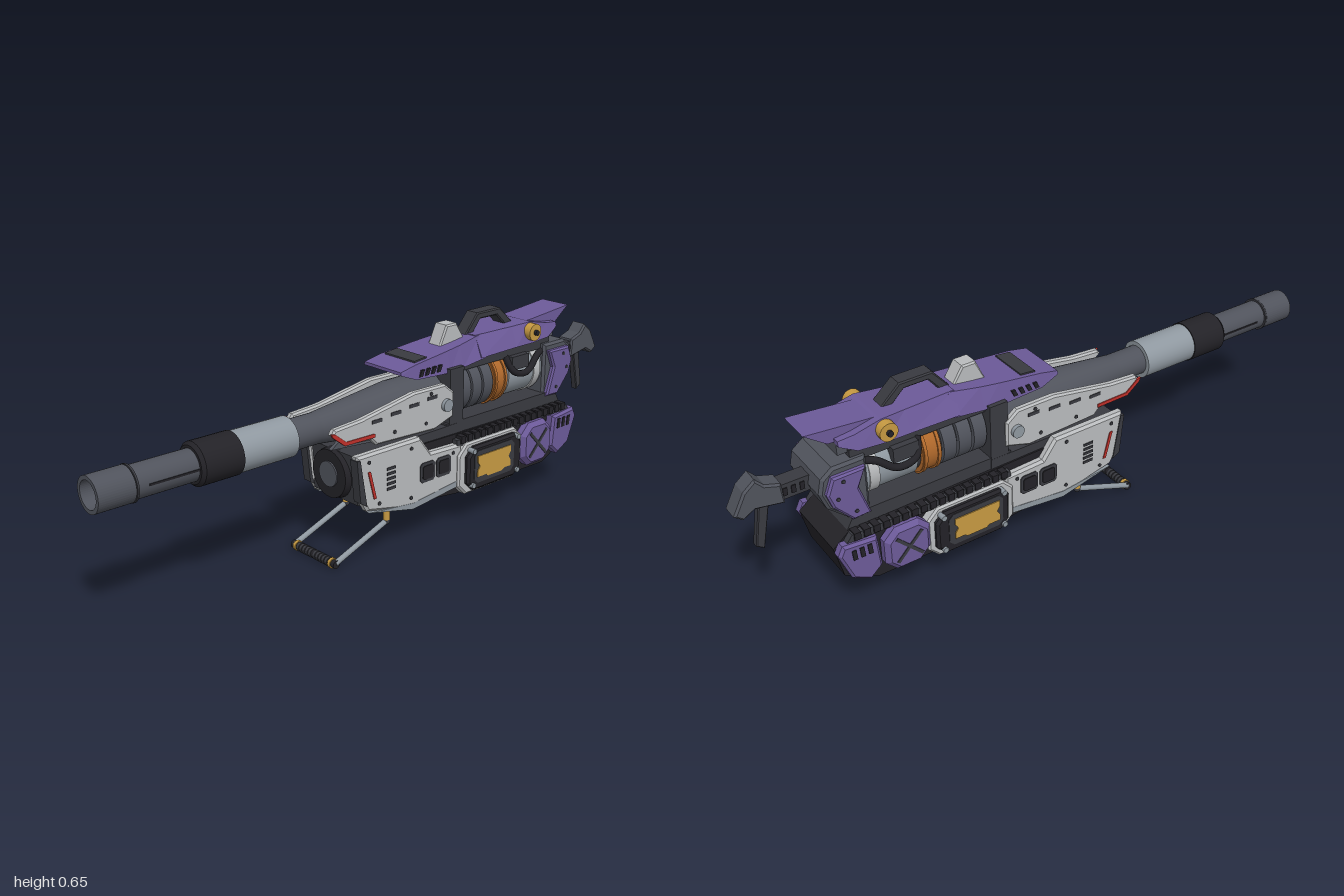
import * as THREE from 'three';

export function createModel() {
  const root = new THREE.Group();
  root.name = 'armouredCannon';
  const M = {};
  const colours = {
    purple: 0x6c5a99, lightGrey: 0xb9bbbd, silver: 0x8f98a0, gunmetal: 0x50535c, charcoal: 0x393a40,
    black: 0x232227, gold: 0xc79a42, copper: 0xb26a2c, red: 0xc0302a
  };
  for (const [name, color] of Object.entries(colours)) {
    M[name] = new THREE.MeshStandardMaterial({ color });
    M[name].name = name;
  }

  // ---- helpers ----
  const add = (name, geo, mat) => {
    const m = new THREE.Mesh(geo, M[mat]);
    m.name = name;
    root.add(m);
    return m;
  };
  const box = (name, mat, x0, x1, y0, y1, z0, z1) =>
    add(name, new THREE.BoxGeometry(x1 - x0, y1 - y0, z1 - z0)
      .translate((x0 + x1) / 2, (y0 + y1) / 2, (z0 + z1) / 2), mat);
  const boxes = (name, mat, x0, x1, y0, y1, z0, z1) => {
    box(name, mat, x0, x1, y0, y1, z0, z1);
    box(name, mat, x0, x1, y0, y1, -z1, -z0);
  };
  // side profile extruded across z, with bevels kept inside the outline
  const slab = (name, mat, pts, z0, z1, b = 0, holes = []) => {
    const shape = new THREE.Shape(pts.map(p => new THREE.Vector2(...p)));
    holes.forEach(h => shape.holes.push(new THREE.Path(h.map(p => new THREE.Vector2(...p)))));
    const geo = new THREE.ExtrudeGeometry(shape, {
      depth: z1 - z0 - 2 * b, bevelEnabled: b > 0, bevelSize: b, bevelOffset: -b, bevelThickness: b, bevelSegments: 1
    });
    return add(name, geo.translate(0, 0, z0 + b), mat);
  };
  const slabs = (name, mat, pts, z0, z1, b) => {
    slab(name, mat, pts, z0, z1, b);
    slab(name, mat, pts, -z1, -z0, b);
  };
  const cylX = (name, mat, x0, x1, r0, r1 = r0, y = 0.416, n = 32) =>
    add(name, new THREE.CylinderGeometry(r1, r0, x1 - x0, n).rotateZ(-Math.PI / 2).translate((x0 + x1) / 2, y, 0), mat);
  const cylZ = (name, mat, x, y, z0, z1, r, n = 20) => {
    for (const s of [1, -1])
      add(name, new THREE.CylinderGeometry(r, r, z1 - z0, n).rotateX(Math.PI / 2).translate(x, y, s * (z0 + z1) / 2), mat);
  };
  const octagon = (x, y, w, h, c) => [
    [x - w + c, y - h], [x + w - c, y - h], [x + w, y - h + c], [x + w, y + h - c],
    [x + w - c, y + h], [x - w + c, y + h], [x - w, y + h - c], [x - w, y - h + c]];
  // box-like loft along x: stations of [x, yBottom, yTop, halfBottom, halfTop]
  const loft = (name, mat, st) => {
    const pos = [];
    const ring = ([x, a, b, w, t]) => [[x, a, w], [x, b, t], [x, b, -t], [x, a, -w]];
    const quad = (a, b, c, d) => pos.push(...a, ...b, ...c, ...a, ...c, ...d);
    for (let i = 0; i < st.length - 1; i++) {
      const p = ring(st[i]), q = ring(st[i + 1]);
      for (let k = 0; k < 4; k++) quad(p[k], q[k], q[(k + 1) % 4], p[(k + 1) % 4]);
    }
    quad(...ring(st[0]));
    quad(...ring(st[st.length - 1]).reverse());
    const g = new THREE.BufferGeometry();
    g.setAttribute('position', new THREE.Float32BufferAttribute(pos, 3));
    g.computeVertexNormals();
    return add(name, g, mat);
  };

  // ---- barrel ----
  const tube = new THREE.Shape().absarc(0, 0, 0.052, 0, Math.PI * 2);
  tube.holes.push(new THREE.Path().absarc(0, 0, 0.04, 0, Math.PI * 2));
  add('muzzle', new THREE.ExtrudeGeometry(tube, { depth: 0.11, bevelEnabled: false, curveSegments: 24 })
    .rotateY(Math.PI / 2).translate(-1, 0.416, 0), 'gunmetal');
  cylX('bore', 'black', -0.93, -0.89, 0.041);
  for (const x of [-0.985, -0.9]) cylX('muzzleBand', 'charcoal', x + 0.012, x + 0.018, 0.0535).visible = x > -0.95;
  cylX('frontBarrel', 'gunmetal', -0.89, -0.68, 0.047);
  boxes('barrelGroove', 'black', -0.85, -0.69, 0.413, 0.419, 0.044, 0.049);
  cylX('barrelSleeve', 'black', -0.685, -0.56, 0.064);
  cylX('sleeveLip', 'black', -0.695, -0.685, 0.055, 0.064);
  cylX('silverSleeve', 'silver', -0.56, -0.37, 0.061);
  cylX('rearBarrel', 'gunmetal', -0.37, -0.2, 0.047);
  cylX('barrelCone', 'gunmetal', -0.27, 0.03, 0.047, 0.08);
  cylX('barrelRoot', 'gunmetal', 0.03, 0.21, 0.08);

  // ---- upper side armour ----
  slabs('upperArmour', 'lightGrey', [[-0.29, 0.425], [-0.24, 0.383], [-0.14, 0.375], [-0.12, 0.355], [0.12, 0.345],
    [0.2, 0.37], [0.2, 0.45], [0.16, 0.482], [0.03, 0.483], [-0.18, 0.447], [-0.28, 0.44]], 0.083, 0.108, 0.006);
  slabs('redTrim', 'red', [[-0.295, 0.432], [-0.29, 0.42], [-0.245, 0.385], [-0.13, 0.383], [-0.13, 0.394],
    [-0.24, 0.396], [-0.28, 0.428]], 0.104, 0.111, 0);
  slabs('upperArmourSkirt', 'gunmetal', [[-0.28, 0.375], [-0.1, 0.36], [-0.1, 0.4], [-0.24, 0.4]], 0.078, 0.09, 0);
  for (let i = 0; i < 4; i++)
    boxes('armourSlot', 'charcoal', -0.14 + i * 0.075, -0.1 + i * 0.075, 0.425 + i * 0.007, 0.436 + i * 0.007, 0.105, 0.11);
  cylZ('armourPivot', 'silver', 0.165, 0.415, 0.1, 0.12, 0.02);
  for (const [x, y] of [[-0.05, 0.38], [0.08, 0.375], [0.1, 0.465]]) cylZ('armourBolt', 'charcoal', x, y, 0.1, 0.111, 0.006, 8);

  // ---- lower body and front opening ----
  slab('lowerBody', 'charcoal', [[-0.2, 0.335], [-0.19, 0.18], [0.01, 0.135], [0.25, 0.12], [0.25, 0.34]], -0.1, 0.1);
  cylX('frontPort', 'black', -0.215, -0.19, 0.075, 0.08, 0.26);
  cylX('portCore', 'gunmetal', -0.22, -0.2, 0.04, 0.04, 0.26);
  slabs('lowerArmour', 'lightGrey', [[-0.215, 0.345], [-0.2, 0.21], [-0.175, 0.165], [0.01, 0.125], [0.22, 0.15],
    [0.22, 0.28], [0.085, 0.285], [0.04, 0.345]], 0.095, 0.128, 0.008);
  slabs('armourLowerLip', 'silver', [[-0.17, 0.16], [0.01, 0.12], [0.22, 0.143], [0.22, 0.163], [0.01, 0.14]], 0.1, 0.129, 0);
  slabs('armourEdge', 'charcoal', [[-0.218, 0.335], [-0.205, 0.335], [-0.18, 0.185], [-0.205, 0.2]], 0.1, 0.131, 0);
  slabs('redMark', 'red', [[-0.175, 0.29], [-0.165, 0.29], [-0.142, 0.2], [-0.152, 0.2]], 0.126, 0.131, 0);
  for (let i = 0; i < 5; i++) boxes('ventSlot', 'charcoal', -0.1, -0.065, 0.212 + i * 0.016, 0.22 + i * 0.016, 0.125, 0.131);
  for (const x of [0.068, 0.137]) {
    slabs('windowFrame', 'charcoal', octagon(x, 0.228, 0.031, 0.032, 0.008), 0.125, 0.131, 0);
    slabs('window', 'black', octagon(x, 0.228, 0.022, 0.022, 0.005), 0.126, 0.134, 0);
  }
  for (const [x, y] of [[-0.17, 0.32], [0, 0.32], [0, 0.16], [0.18, 0.26], [-0.13, 0.18]])
    cylZ('lowerBolt', 'charcoal', x, y, 0.12, 0.131, 0.006, 8);

  // ---- rear hull ----
  slab('rearHull', 'black', [[0.05, 0.125], [0.22, 0.105], [0.64, 0.102], [0.745, 0.155], [0.77, 0.26], [0.72, 0.3],
    [0.05, 0.31]], -0.105, 0.105);
  slab('deck', 'charcoal', [[0.18, 0.3], [0.72, 0.3], [0.7, 0.335], [0.66, 0.345], [0.18, 0.345]], -0.098, 0.098);
  slabs('trackRail', 'charcoal', [[0.2, 0.272], [0.74, 0.275], [0.72, 0.3], [0.2, 0.294]], 0.1, 0.125, 0);
  for (let i = 0; i < 17; i++) boxes('trackPad', 'black', 0.215 + i * 0.03, 0.235 + i * 0.03, 0.28, 0.304, 0.1, 0.13);

  // ---- side modules ----
  slabs('moduleBase', 'lightGrey', octagon(0.345, 0.193, 0.147, 0.086, 0.035), 0.1, 0.136, 0.006);
  slabs('moduleFrame', 'black', octagon(0.348, 0.193, 0.124, 0.074, 0.03), 0.13, 0.154, 0.008);
  slabs('moduleInset', 'charcoal', octagon(0.342, 0.198, 0.092, 0.054, 0.015), 0.15, 0.156, 0);
  slabs('goldGrille', 'gold', [[0.262, 0.165], [0.3, 0.165], [0.31, 0.158], [0.375, 0.158], [0.385, 0.165], [0.415, 0.165],
    [0.415, 0.185], [0.405, 0.2], [0.415, 0.215], [0.415, 0.235], [0.262, 0.235], [0.262, 0.215], [0.272, 0.2],
    [0.262, 0.185]], 0.15, 0.159, 0);
  for (const x of [0.245, 0.45]) for (const y of [0.14, 0.255]) cylZ('moduleBolt', 'silver', x, y, 0.13, 0.161, 0.009, 10);
  slabs('purpleHub', 'purple', octagon(0.56, 0.203, 0.073, 0.074, 0.036), 0.1, 0.15, 0.014);
  for (const s of [1, -1]) {
    const a = s * 0.8, c = Math.cos(a), d = Math.sin(a);
    const bar = [[-0.058, -0.005], [0.058, -0.005], [0.058, 0.005], [-0.058, 0.005]]
      .map(([u, v]) => [0.56 + u * c - v * d, 0.203 + u * d + v * c]);
    slabs('hubCross', 'charcoal', bar, 0.147, 0.1525, 0);
  }
  slabs('rearSkirt', 'purple', [[0.64, 0.165], [0.68, 0.13], [0.735, 0.16], [0.77, 0.25], [0.755, 0.28], [0.65, 0.27]],
    0.1, 0.138, 0.008);
  for (let i = 0; i < 3; i++) {
    const x = 0.668 + i * 0.024;
    slabs('skirtSlot', 'black', [[x, 0.225], [x + 0.013, 0.225], [x + 0.016, 0.258], [x + 0.003, 0.258]], 0.134, 0.141, 0);
  }

  // ---- engine drum ----
  box('drumFrontFrame', 'charcoal', 0.19, 0.25, 0.34, 0.52, -0.1, 0.1);
  cylX('drumCore', 'charcoal', 0.25, 0.64, 0.074, 0.074, 0.43);
  for (const x of [0.255, 0.305, 0.355]) cylX('drumRib', 'gunmetal', x, x + 0.042, 0.088, 0.088, 0.43);
  cylX('copperRing', 'copper', 0.405, 0.465, 0.087, 0.087, 0.43);
  for (const x of [0.408, 0.452]) cylX('copperLip', 'copper', x, x + 0.01, 0.092, 0.092, 0.43);
  cylX('drumRear', 'silver', 0.48, 0.64, 0.082, 0.082, 0.43);
  cylX('drumRearBand', 'lightGrey', 0.6, 0.63, 0.086, 0.086, 0.43);
  for (const s of [1, -1]) {
    const path = new THREE.CatmullRomCurve3([[0.47, 0.5, 0.07], [0.49, 0.45, 0.095], [0.55, 0.44, 0.098], [0.61, 0.48, 0.085],
      [0.65, 0.49, 0.07]].map(([x, y, z]) => new THREE.Vector3(x, y, z * s)));
    add('hose', new THREE.TubeGeometry(path, 20, 0.011, 8), 'black');
  }
  boxes('hoseSocket', 'charcoal', 0.48, 0.56, 0.455, 0.5, 0.06, 0.095);

  // ---- rear block and grip ----
  slab('rearBlock', 'gunmetal', [[0.64, 0.33], [0.7, 0.325], [0.765, 0.385], [0.785, 0.44], [0.775, 0.485], [0.74, 0.512],
    [0.64, 0.512]], -0.092, 0.092, 0.008);
  slabs('rearBlockArmour', 'purple', [[0.645, 0.335], [0.7, 0.332], [0.755, 0.395], [0.77, 0.44], [0.75, 0.49], [0.65, 0.49],
    [0.675, 0.43]], 0.085, 0.108, 0.006);
  for (const [x, y] of [[0.69, 0.36], [0.72, 0.47], [0.74, 0.42]]) cylZ('rearBolt', 'charcoal', x, y, 0.1, 0.111, 0.006, 8);
  box('gripArm', 'charcoal', 0.76, 0.9, 0.42, 0.468, -0.024, 0.024);
  for (let i = 0; i < 3; i++) boxes('gripArmSlot', 'black', 0.795 + i * 0.025, 0.808 + i * 0.025, 0.432, 0.456, 0.02, 0.027);
  slab('gripHead', 'gunmetal', [[0.855, 0.41], [0.94, 0.425], [0.975, 0.405], [1, 0.425], [0.965, 0.49], [0.93, 0.518],
    [0.905, 0.49], [0.86, 0.475]], -0.03, 0.03, 0.006);
  slab('gripLever', 'charcoal', [[0.895, 0.415], [0.925, 0.42], [0.948, 0.292], [0.925, 0.277]], -0.012, 0.012, 0.003);

  // ---- top cover ----
  box('coverSupport', 'charcoal', 0.2, 0.68, 0.495, 0.535, -0.075, 0.075);
  loft('frontCover', 'purple', [[0, 0.535, 0.545, 0.083, 0.08], [0.06, 0.512, 0.557, 0.087, 0.08],
    [0.2, 0.505, 0.572, 0.088, 0.075], [0.26, 0.51, 0.578, 0.088, 0.07], [0.36, 0.522, 0.592, 0.088, 0.06]]);
  loft('mainCover', 'purple', [[0.34, 0.525, 0.592, 0.09, 0.058], [0.5, 0.53, 0.594, 0.093, 0.068],
    [0.58, 0.53, 0.598, 0.093, 0.078], [0.66, 0.535, 0.58, 0.09, 0.078], [0.71, 0.56, 0.575, 0.08, 0.075]]);
  slab('coverTail', 'purple', [[0.5, 0.59], [0.62, 0.598], [0.795, 0.614], [0.73, 0.565], [0.6, 0.55]], -0.055, 0.055);
  box('tailPad', 'gunmetal', 0.63, 0.71, 0.525, 0.562, -0.065, 0.065);
  loft('coverHatch', 'charcoal', [[0.07, 0.55, 0.563, 0.065, 0.065], [0.12, 0.555, 0.568, 0.065, 0.065]]);
  for (let i = 0; i < 4; i++) {
    const x = 0.07 + i * 0.025;
    slabs('coverSlot', 'black', [[x, 0.518], [x + 0.013, 0.518], [x + 0.022, 0.538], [x + 0.009, 0.538]], 0.081, 0.089, 0);
  }
  slab('sightBlock', 'lightGrey', [[0.215, 0.57], [0.245, 0.635], [0.29, 0.635], [0.325, 0.58]], -0.027, 0.027, 0.005);
  slab('carryHandle', 'charcoal', [[0.33, 0.585], [0.385, 0.65], [0.49, 0.65], [0.555, 0.59], [0.52, 0.585], [0.475, 0.628],
    [0.4, 0.628], [0.365, 0.585]], -0.025, 0.025, 0.004);
  cylZ('goldKnob', 'gold', 0.573, 0.568, 0.08, 0.107, 0.028);
  cylZ('knobHub', 'black', 0.573, 0.568, 0.1, 0.117, 0.009, 12);

  // ---- folding front stand ----
  const dx = -0.205, dy = -0.077, len = Math.hypot(dx, dy);
  for (const s of [1, -1]) {
    const z = s * 0.094;
    add('standHinge', new THREE.CylinderGeometry(0.011, 0.011, 0.05, 12).translate(-0.07, 0.125, z), 'gold');
    add('standJoint', new THREE.SphereGeometry(0.012, 12, 8).translate(-0.07, 0.095, z), 'charcoal');
    add('standLeg', new THREE.CylinderGeometry(0.009, 0.009, len, 12)
      .rotateZ(Math.atan2(dy, dx) - Math.PI / 2).translate(-0.07 + dx / 2, 0.095 + dy / 2, z), 'silver');
  }
  cylZ('standFoot', 'black', -0.275, 0.016, 0, 0.1, 0.013, 16);
  for (let i = 0; i < 5; i++) cylZ('footRib', 'charcoal', -0.275, 0.016, 0.006 + i * 0.014, 0.014 + i * 0.014, 0.015, 16);
  cylZ('footRing', 'gold', -0.275, 0.016, 0.076, 0.086, 0.016, 16);

  return root;
}
